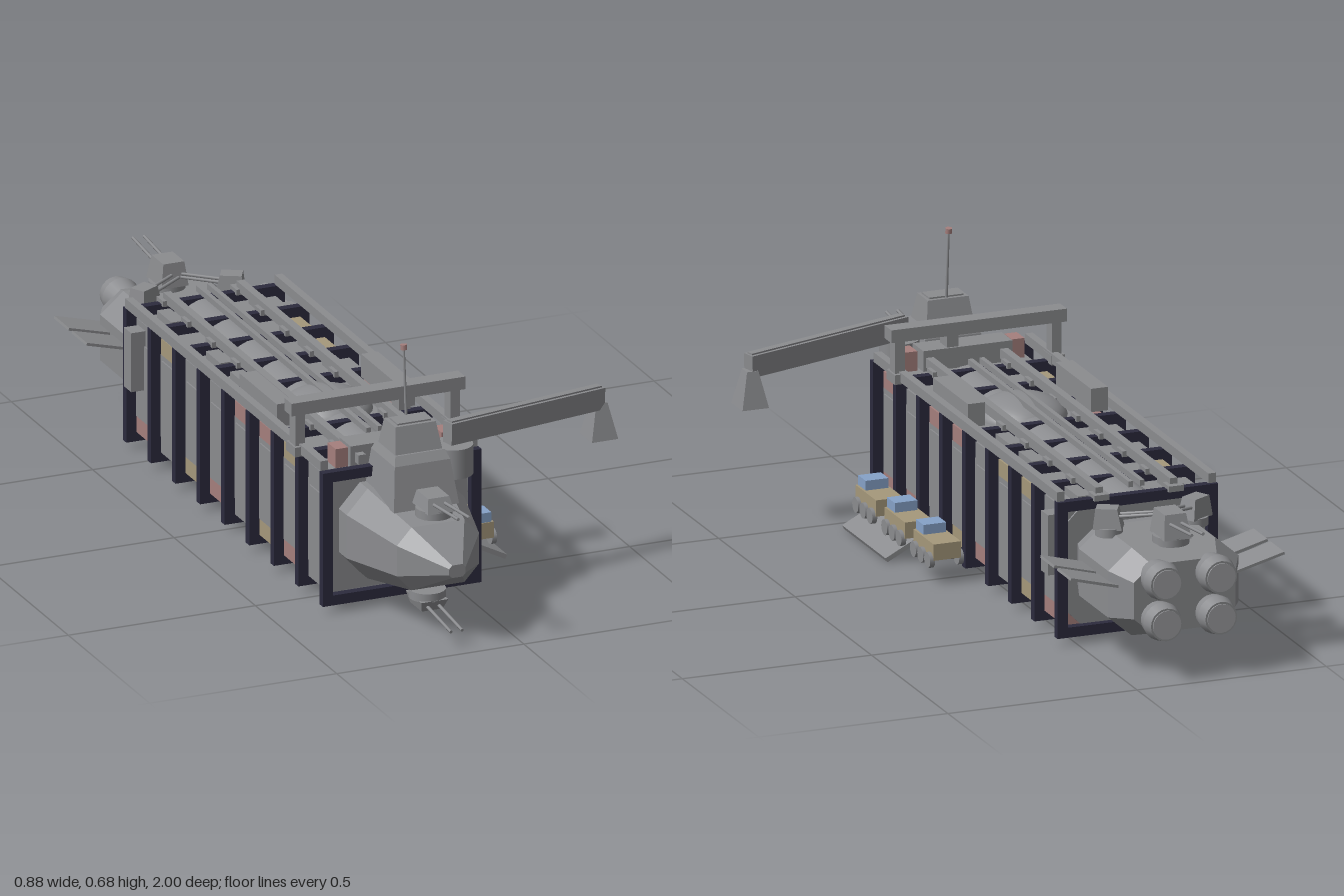
import * as THREE from 'three';
import { ConvexGeometry } from 'three/addons/geometries/ConvexGeometry.js';

const CX = -0.16; // centre line of the ship
const V = (x, y, z) => new THREE.Vector3(x, y, z);
const paint = (name, color) => Object.assign(new THREE.MeshStandardMaterial({ color }), { name });

export function createModel() {
  const root = new THREE.Group();
  root.name = 'cargoShip';
  const hull = paint('hullGrey', 0x8b8c8f);
  const frameMat = paint('frameNavy', 0x2c2b3e);
  const red = paint('dustyRed', 0xa57f7d);
  const tan = paint('sandTan', 0xa5987b);
  const blue = paint('cabBlue', 0x86a2c8);
  const pale = paint('nozzlePale', 0x9c9da0);

  const add = (name, geo, mat, parent = root) => {
    const m = new THREE.Mesh(geo, mat);
    m.name = name;
    parent.add(m);
    return m;
  };
  // box given by its limits on each axis
  const box = (name, mat, x0, x1, y0, y1, z0, z1, parent = root) => {
    const m = add(name, new THREE.BoxGeometry(x1 - x0, y1 - y0, z1 - z0), mat, parent);
    m.position.set((x0 + x1) / 2, (y0 + y1) / 2, (z0 + z1) / 2);
    return m;
  };
  // box whose top is narrower than its base
  const taper = (name, mat, [x0, x1, z0, z1], y0, [a0, a1, c0, c1], y1, parent = root) =>
    add(name, new ConvexGeometry([
      V(x0, y0, z0), V(x1, y0, z0), V(x1, y0, z1), V(x0, y0, z1),
      V(a0, y1, c0), V(a1, y1, c0), V(a1, y1, c1), V(a0, y1, c1)]), mat, parent);
  // round bar between two points
  const bar = (name, mat, a, b, r, r2 = r, parent = root, sides = 8) => {
    const m = add(name, new THREE.CylinderGeometry(r2, r, a.distanceTo(b), sides), mat, parent);
    m.position.copy(a).add(b).multiplyScalar(0.5);
    m.quaternion.setFromUnitVectors(V(0, 1, 0), b.clone().sub(a).normalize());
    return m;
  };
  // eight-sided body from [z, scale] sections
  const octBody = (name, cy, hx, ix, hy, iy, sections) => {
    const pts = [];
    for (const [z, s] of sections)
      for (const sx of [-1, 1]) for (const sy of [-1, 1])
        pts.push(V(CX + sx * hx * s, cy + sy * iy * s, z), V(CX + sx * ix * s, cy + sy * hy * s, z));
    return add(name, new ConvexGeometry(pts), hull);
  };
  const extrudeZ = (shape, z0, z1) =>
    new THREE.ExtrudeGeometry(shape, { depth: z1 - z0, bevelEnabled: false }).translate(0, 0, z0);
  const poly = (pts) => new THREE.Shape(pts.map(([x, y]) => new THREE.Vector2(x, y)));

  // Ring frames around the cargo hold
  const frameZ = Array.from({ length: 9 }, (_, i) => 0.61 - i * 0.151);
  const ring = poly([[-0.372, 0.02], [0.052, 0.02], [0.052, 0.37], [-0.372, 0.37]]);
  ring.holes.push(poly([[-0.345, 0.046], [-0.345, 0.344], [0.025, 0.344], [0.025, 0.046]]));
  frameZ.forEach((z) => add('ringFrame', extrudeZ(ring, z - 0.011, z + 0.011), frameMat));

  // Hold with chamfered corners, filled by coloured corner containers
  const L = -0.346, R = 0.026, B = 0.045, T = 0.345, C = 0.042;
  add('hold', extrudeZ(poly([[L + C, B], [R - C, B], [R, B + C], [R, T - C],
    [R - C, T], [L + C, T], [L, T - C], [L, B + C]]), -0.59, 0.592), hull);
  const rows = { // one letter per bay, front to back
    topLeft: [R, T, 'rgrrgttg'], bottomLeft: [R, B, 'rrgtrgtr'],
    topRight: [L, T, 'gtrrggtg'], bottomRight: [L, B, 'grtgrtgr'] };
  for (const [name, [x, y, colours]] of Object.entries(rows)) {
    const dx = x === R ? -C : C, dy = y === T ? -C : C;
    const pts = [[x, y], [x + dx, y], [x, y + dy]];
    [...colours].forEach((c, i) => add(name + 'Container',
      extrudeZ(poly(pts), frameZ[i + 1] + 0.013, frameZ[i] - 0.013), { r: red, t: tan, g: hull }[c]));
  }
  for (let i = 0; i < 8; i++) // thin side panels in every bay
    for (const x of [L - 0.004, R])
      box('sidePanel', hull, x, x + 0.004, 0.1, 0.29, frameZ[i + 1] + 0.025, frameZ[i] - 0.025);
  for (const x of [-0.384, 0.024]) box('sideHatch', hull, x, x + 0.04, 0.175, 0.33, -0.575, -0.53);

  // Spine, dome and the rails over the frames
  const spine = bar('spine', hull, V(CX, 0.285, -0.59), V(CX, 0.285, 0.5), 0.083, 0.083, root, 24);
  spine.scale.set(1, 1, 1);
  const dome = add('dome', new THREE.SphereGeometry(0.115, 32, 12, 0, Math.PI * 2, 0, Math.PI / 2), hull);
  dome.position.set(CX, 0.34, 0.155);
  dome.scale.y = 0.5;
  for (const x of [-0.36, -0.258, -0.062, 0.04]) box('rail', hull, x - 0.01, x + 0.01, 0.37, 0.395, -0.6, 0.6);
  for (const x of [-0.175, -0.145]) box('centreRail', hull, x - 0.006, x + 0.006, 0.385, 0.4, -0.6, 0.45);
  for (const z of frameZ.slice(1)) for (const x of [-0.258, -0.062])
    box('railFoot', hull, x - 0.02, x + 0.02, 0.365, 0.38, z - 0.02, z + 0.02);
  for (const x of [-0.345, -0.02]) box('deckLocker', hull, x, x + 0.045, 0.365, 0.425, 0.045, 0.275);
  for (const z of [-0.52, -0.22, -0.07]) for (const x of [-0.3, -0.055])
    box('deckBox', hull, x, x + 0.035, 0.34, 0.365, z - 0.045, z + 0.045);

  // Gantry straddling the hold
  box('gantryBeam', hull, -0.392, 0.072, 0.472, 0.505, 0.43, 0.475);
  for (const x of [-0.367, 0.047]) {
    box('gantryLeg', hull, x - 0.013, x + 0.013, 0.37, 0.475, 0.435, 0.47);
    box('gantryFoot', hull, x - 0.018, x + 0.018, 0.365, 0.39, 0.425, 0.48);
  }
  box('gantryTrolley', hull, -0.105, -0.075, 0.443, 0.475, 0.43, 0.475);

  // Winch with red ends
  box('winch', hull, -0.28, -0.045, 0.36, 0.413, 0.51, 0.58);
  for (const x of [-0.318, -0.035]) box('winchEnd', red, x, x + 0.033, 0.36, 0.41, 0.525, 0.575);

  // Nose and bridge tower
  octBody('nose', 0.203, 0.157, 0.101, 0.118, 0.057, [[0.59, 1], [0.64, 1], [0.84, 0.7], [0.96, 0.14]]);
  taper('bridgeBase', hull, [-0.247, -0.073, 0.585, 0.77], 0.3, [-0.234, -0.086, 0.6, 0.745], 0.41);
  taper('bridgeRoof', hull, [-0.234, -0.086, 0.6, 0.745], 0.41, [-0.226, -0.094, 0.61, 0.73], 0.432);
  taper('bridgeTop', hull, [-0.224, -0.098, 0.62, 0.725], 0.43, [-0.215, -0.107, 0.635, 0.705], 0.498);
  box('bridgeWindow', hull, -0.205, -0.115, 0.498, 0.502, 0.645, 0.695);
  bar('antenna', hull, V(CX, 0.49, 0.645), V(CX, 0.67, 0.63), 0.004, 0.003);
  bar('antennaTip', red, V(CX, 0.668, 0.63), V(CX, 0.681, 0.629), 0.009);

  // Twin-gun turrets; dir -1 hangs underneath
  const turret = (x, y, z, heading, dir, h, len, s = 1) => {
    const g = new THREE.Group();
    g.name = 'turret';
    g.position.set(x, y, z);
    g.rotation.y = heading;
    const disc = add('turretRing', new THREE.CylinderGeometry(0.046 * s, 0.046 * s, 0.022, 20), hull, g);
    disc.position.y = dir * 0.008;
    const a = [-0.036 * s, 0.036 * s, -0.05 * s, 0.046 * s], b = [-0.028 * s, 0.028 * s, -0.042 * s, 0.03 * s];
    taper('turretHousing', hull, a, dir * 0.016, b, dir * h, g);
    for (const bx of [-0.015, 0.015])
      bar('gunBarrel', hull, V(bx * s, dir * h * 0.68, 0.02 * s), V(bx * s, dir * (h * 0.68 + len * 0.09), len), 0.0045, 0.004, g);
    root.add(g);
  };
  turret(CX, 0.303, 0.815, 0, 1, 0.052, 0.185);
  turret(CX, 0.09, 0.775, 0, -1, 0.045, 0.18);
  turret(CX, 0.312, -0.825, Math.PI, 1, 0.078, 0.175);
  for (const s of [-1, 1]) turret(CX + s * 0.113, 0.308, -0.7, Math.atan2(-s * 0.11, -0.06), 1, 0.068, 0.12, 0.75);

  // Engine block, nozzles and fins
  octBody('engineBlock', 0.2, 0.172, 0.11, 0.113, 0.06, [[-0.59, 0.88], [-0.65, 1], [-0.84, 1], [-0.915, 0.78]]);
  for (const x of [CX - 0.072, CX + 0.072]) for (const y of [0.15, 0.255]) {
    bar('nozzle', hull, V(x, y, -0.88), V(x, y, -0.945), 0.038, 0.049, root, 20);
    bar('nozzleLip', hull, V(x, y, -0.945), V(x, y, -0.977), 0.049, 0.042, root, 20);
    bar('nozzleFace', pale, V(x, y, -0.974), V(x, y, -0.98), 0.037, 0.037, root, 20);
  }
  for (const s of [-1, 1]) for (const z of [-0.825, -0.715]) {
    const fin = add('fin', new THREE.BoxGeometry(0.135, 0.007, 0.09), hull);
    fin.position.set(CX + s * 0.217, 0.243, z);
    fin.rotation.z = s * 0.26;
  }

  // Crane: turntable, swung boom and tapered grab
  bar('craneTurntable', hull, V(-0.035, 0.33, 0.645), V(-0.035, 0.407, 0.645), 0.05, 0.05, root, 24);
  const boom = add('craneBoom', new THREE.BoxGeometry(0.47, 0.056, 0.036), hull);
  boom.position.set(0.178, 0.43, 0.592);
  boom.rotation.set(0, 0.235, -0.03);
  box('boomRib', hull, -0.23, 0.23, -0.02, 0.032, -0.01, 0.01, boom);
  taper('craneGrab', hull, [0.367, 0.437, 0.5, 0.575], 0.32, [0.387, 0.417, 0.52, 0.555], 0.412);

  // Loading ramp
  const ramp = add('ramp', new THREE.BoxGeometry(0.155, 0.012, 0.285), hull);
  ramp.position.set(0.121, 0.041, 0.312);
  ramp.rotation.z = -0.475;

  // Six-wheeled trucks
  for (const z of [0.02, 0.208, 0.398]) {
    const t = new THREE.Group();
    t.name = 'truck';
    t.position.set(0.117, 0, z);
    box('truckBody', tan, -0.036, 0.036, 0.065, 0.107, -0.068, 0.066, t);
    box('truckCab', blue, -0.03, 0.03, 0.105, 0.132, 0.014, 0.064, t);
    for (const s of [-1, 1]) for (const wz of [-0.047, -0.002, 0.046])
      bar('wheel', hull, V(s * 0.032, 0.062, wz), V(s * 0.045, 0.062, wz), 0.02, 0.02, t, 14);
    root.add(t);
  }
  return root;
}
